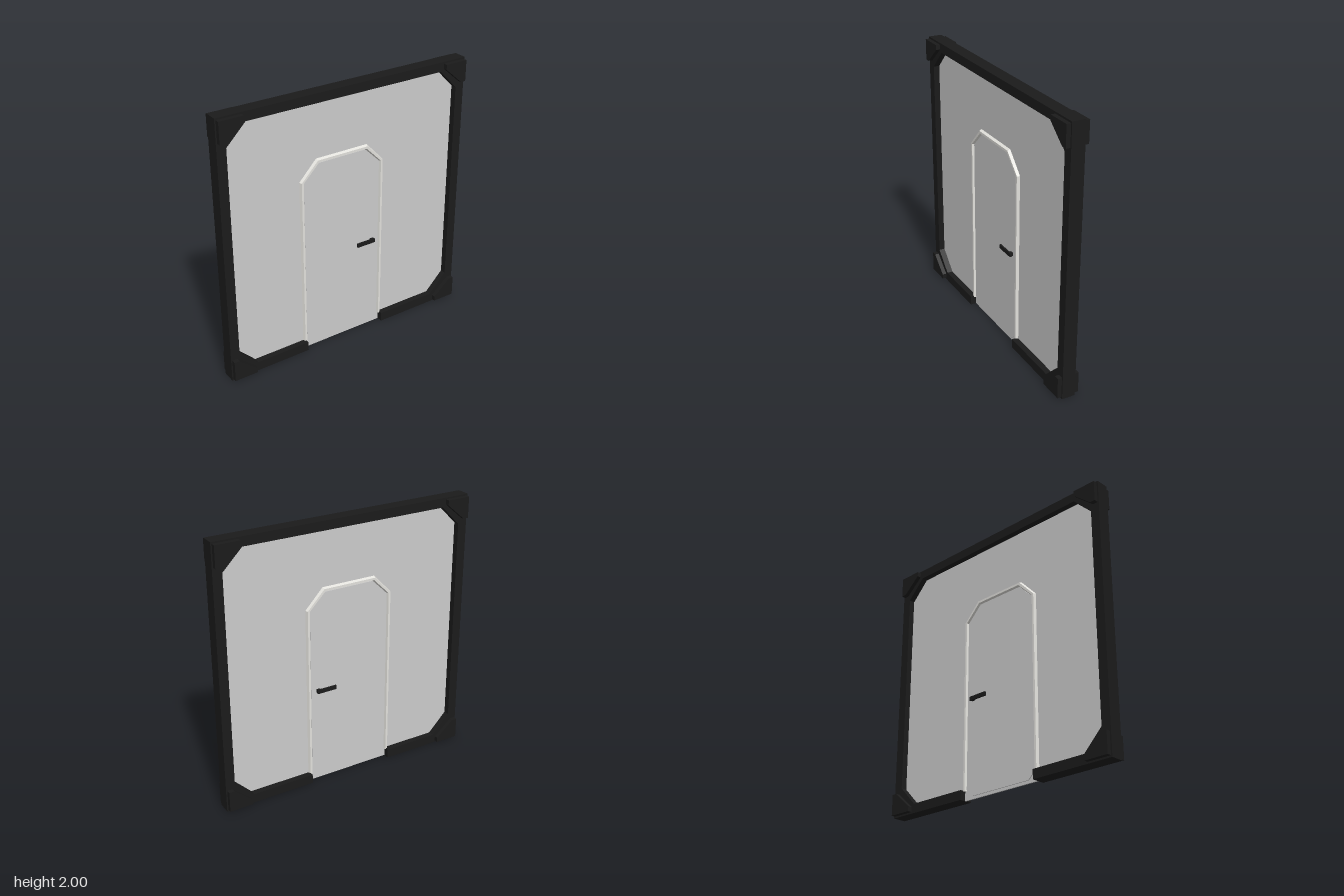
import * as THREE from 'three';

const grey = new THREE.MeshStandardMaterial({ color: 0xcccccc, flatShading: true });
const light = new THREE.MeshStandardMaterial({ color: 0xe2e1dc, flatShading: true });
const dark = new THREE.MeshStandardMaterial({ color: 0x1b1b1b, flatShading: true });

function add(group, name, geometry, material) {
  const mesh = new THREE.Mesh(geometry, material);
  mesh.name = name;
  group.add(mesh);
  return mesh;
}

// Box given by its minimum and maximum corners
function box(group, name, [x0, y0, z0], [x1, y1, z1], material) {
  const mesh = add(group, name, new THREE.BoxGeometry(x1 - x0, y1 - y0, z1 - z0), material);
  mesh.position.set((x0 + x1) / 2, (y0 + y1) / 2, (z0 + z1) / 2);
}

// Flat outline extruded evenly to both sides of z = 0
function slab(points, halfDepth) {
  const shape = new THREE.Shape(points.map(([x, y]) => new THREE.Vector2(x, y)));
  return new THREE.ExtrudeGeometry(shape, { depth: 2 * halfDepth, bevelEnabled: false })
    .translate(0, 0, -halfDepth);
}

// Bevelled moulding swept between matching inner and outer outlines
function moulding(inner, outer) {
  const profile = [[0, 0], [0.25, 0.025], [0.7, 0.025], [1, 0], [0.7, -0.025], [0.25, -0.025]];
  const n = profile.length, positions = [], index = [];
  inner.forEach(([x, y], i) => {
    for (const [t, z] of profile) {
      positions.push(x + (outer[i][0] - x) * t, y + (outer[i][1] - y) * t, z);
    }
  });
  for (let i = 0; i < inner.length - 1; i++) {
    for (let j = 0; j < n; j++) {
      const a = i * n + j, b = i * n + (j + 1) % n;
      index.push(a, a + n, b, b, a + n, b + n);
    }
  }
  // End caps
  const last = (inner.length - 1) * n;
  for (let j = 1; j < n - 1; j++) {
    index.push(0, j, j + 1, last, last + j + 1, last + j);
  }
  const g = new THREE.BufferGeometry();
  g.setAttribute('position', new THREE.Float32BufferAttribute(positions, 3));
  g.setIndex(index);
  g.computeVertexNormals();
  return g;
}

export function createModel() {
  const model = new THREE.Group();
  model.name = 'wallWithDoor';

  // Thin wall panel, reaching the floor only in the doorway
  add(model, 'wallPanel', slab([
    [-0.96, 0.04], [-0.362, 0.04], [-0.362, 0], [0.307, 0], [0.307, 0.04],
    [0.96, 0.04], [0.96, 1.96], [-0.96, 1.96],
  ], 0.005), grey);

  // Frame bars, with a gap at the bottom for the doorway
  const d = 0.05;
  const frame = new THREE.Group();
  frame.name = 'frame';
  model.add(frame);
  box(frame, 'leftPost', [0.93, 0, -d], [1, 2, d], dark);
  box(frame, 'rightPost', [-1, 0, -d], [-0.93, 2, d], dark);
  box(frame, 'topBar', [-0.93, 1.931, -d], [0.93, 2, d], dark);
  box(frame, 'bottomBarLeft', [0.305, 0, -d], [0.93, 0.07, d], dark);
  box(frame, 'bottomBarRight', [-0.93, 0, -d], [-0.36, 0.07, d], dark);

  // Corner gussets and thicker corner brackets
  for (const sx of [-1, 1]) {
    for (const sy of [-1, 1]) {
      const place = (pts) => pts.map(([x, y]) => [sx * x, 1 + sy * y]);
      add(frame, 'cornerGusset', slab(place([
        [0.93, 0.931], [0.785, 0.931], [0.93, 0.785],
      ]), d), dark);
      add(frame, 'cornerBracket', slab(place([
        [0.99, 0.987], [0.81, 0.987], [0.81, 0.95], [0.95, 0.83], [0.99, 0.83],
      ]), 0.082), dark);
    }
  }

  // Door leaf with cut corners, and its moulding
  const door = new THREE.Group();
  door.name = 'door';
  door.position.x = -0.031;
  model.add(door);
  add(door, 'doorLeaf', slab([
    [-0.255, 0.02], [0.255, 0.02], [0.315, 0.075], [0.315, 1.36],
    [0.193, 1.479], [-0.193, 1.479], [-0.315, 1.36], [-0.315, 0.075],
  ], 0.012), grey);
  const arch = (w, shoulder, topW, top) => [
    [-w, 0.065], [-w, shoulder], [-topW, top], [topW, top], [w, shoulder], [w, 0.065],
  ];
  add(door, 'doorMoulding',
    moulding(arch(0.315, 1.36, 0.193, 1.479), arch(0.349, 1.37, 0.211, 1.516)), light);

  // Lever handle on both faces
  for (const s of [1, -1]) {
    const handle = new THREE.Group();
    handle.name = s > 0 ? 'frontHandle' : 'backHandle';
    model.add(handle);
    const span = (a, b) => (s > 0 ? [a, b] : [-b, -a]);
    const [s0, s1] = span(0.005, 0.032), [l0, l1] = span(0.026, 0.038);
    box(handle, 'handleStem', [0.212, 0.722, s0], [0.24, 0.748, s1], dark);
    box(handle, 'handleLever', [0.09, 0.72, l0], [0.242, 0.75, l1], dark);
  }
  return model;
}
